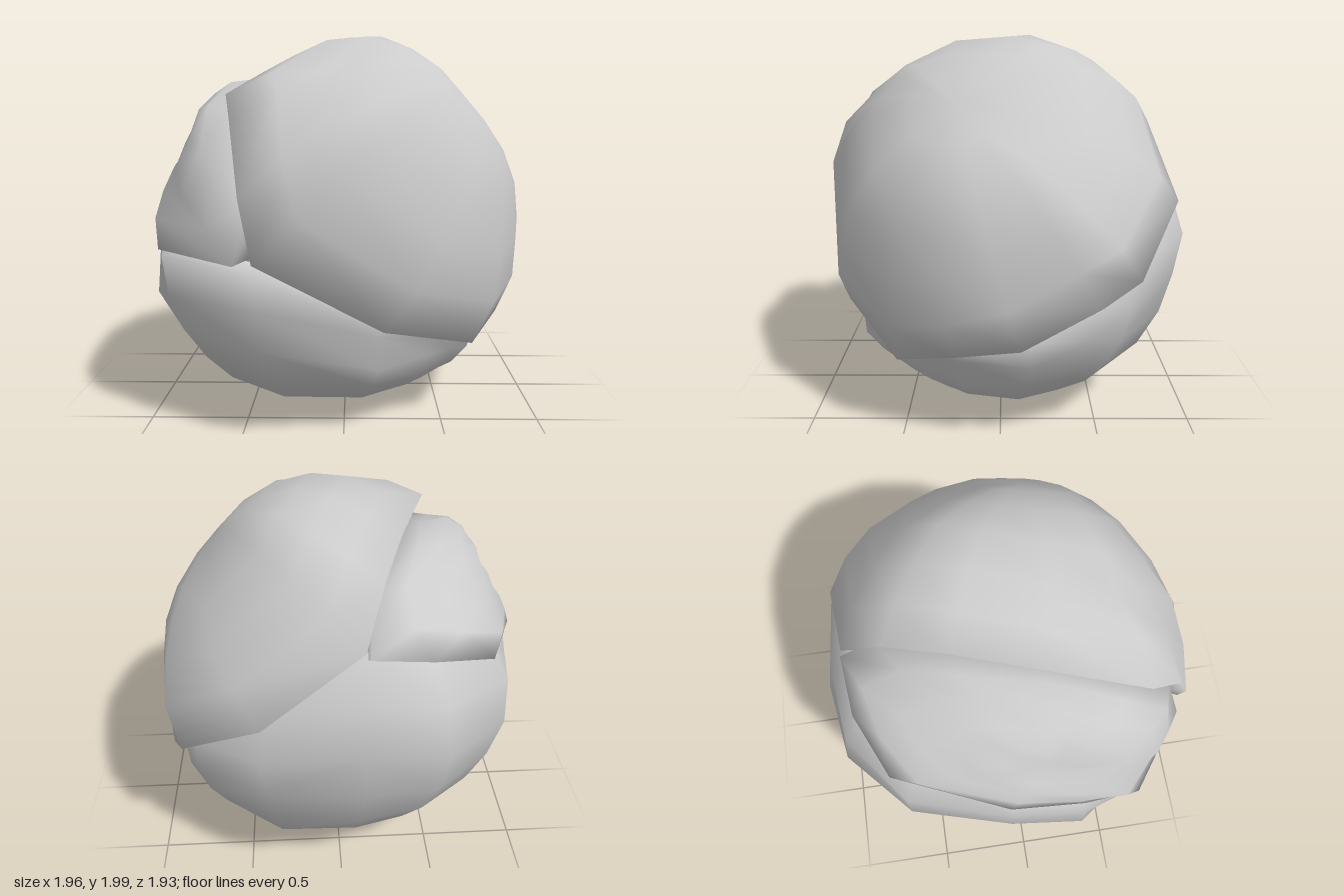
import * as THREE from 'three';

const CENTRE = new THREE.Vector3(0, 1, 0);
const material = new THREE.MeshStandardMaterial({ color: 0xcccccc, side: THREE.DoubleSide });
const fromCentre = ([x, y, z]) => new THREE.Vector3(x, y, z).sub(CENTRE);

// Radius in a direction, blended from the nearest known surface points
function radiusAt(dir, points) {
  let sum = 0, weight = 0;
  for (const p of points) {
    const w = 1 / (Math.pow(dir.angleTo(p), 4) + 2e-4);
    sum += w * p.length();
    weight += w;
  }
  return sum / weight;
}

// A leaf: rings spread over the ball from its middle to its edge, then a lip turned inward
function leaf(name, middle, edge, bulges, rings = 5) {
  const rim = edge.map(fromCentre);
  const known = [...rim, ...bulges.map(fromCentre)];
  const pole = fromCentre(middle).normalize();
  const n = rim.length;
  const positions = [], index = [];
  const put = (v) => positions.push(v.x, v.y + CENTRE.y, v.z);

  put(pole.clone().multiplyScalar(radiusAt(pole, known)));
  for (let r = 1; r < rings; r++) {
    for (const p of rim) {
      const axis = new THREE.Vector3().crossVectors(pole, p).normalize();
      const v = pole.clone().applyAxisAngle(axis, pole.angleTo(p) * r / rings);
      put(v.multiplyScalar(radiusAt(v, known)));
    }
  }
  for (const p of rim) put(p);
  for (const p of rim) put(p.clone().multiplyScalar(0.86));

  for (let i = 0; i < n; i++) {
    const j = (i + 1) % n;
    index.push(0, 1 + i, 1 + j);
    for (let r = 0; r < rings; r++) {
      const a = 1 + r * n, b = a + n;
      index.push(a + i, b + i, b + j, a + i, b + j, a + j);
    }
  }
  const geometry = new THREE.BufferGeometry();
  geometry.setAttribute('position', new THREE.Float32BufferAttribute(positions, 3));
  geometry.setIndex(index);
  geometry.computeVertexNormals();
  const mesh = new THREE.Mesh(geometry, material);
  mesh.name = name;
  return mesh;
}

export function createModel() {
  const group = new THREE.Group();
  group.name = 'leafyHead';

  // Large leaf wrapping the top, front and left
  group.add(leaf('outerLeaf', [0.45, 1.5, 0.15], [
    [-0.1, 1.53, -0.82], [-0.2, 1.76, -0.6], [-0.31, 1.85, -0.3], [-0.44, 1.79, 0.15],
    [-0.56, 1.67, 0.63], [-0.52, 1.56, 0.8], [-0.47, 1.2, 0.92], [-0.41, 0.91, 0.95],
    [0.19, 0.57, 0.84], [0.65, 0.42, 0.52], [0.82, 0.51, 0.22], [0.93, 0.59, -0.1],
    [0.87, 0.78, -0.48], [0.8, 0.89, -0.67], [0.39, 1.18, -0.91],
  ], [
    [0.05, 2, -0.12], [0.28, 1.97, -0.2], [0.49, 1.86, -0.05], [0.55, 1.76, -0.05],
    [0.68, 1.62, 0], [0.86, 1.39, 0], [0.96, 1, 0.06], [0.96, 0.82, 0.08], [-0.34, 1.77, 0.62],
    [0.14, 1.92, 0.38], [-0.1, 1.8, 0.48], [-0.2, 1.5, 0.86], [0.2, 1.45, 0.83],
    [0.2, 1.1, 0.95], [-0.15, 1.1, 0.95], [0.71, 1.55, -0.22], [0.84, 1.24, -0.46],
    [0.84, 1.06, -0.63], [0.54, 1.51, -0.64], [0.15, 1.83, -0.54], [0.69, 0.95, 0.67],
    [0.83, 1, 0.4], [0.45, 1, 0.82], [0.9, 1.05, -0.3],
  ], 6));

  // Smaller leaf tucked in on the right
  group.add(leaf('sideLeaf', [-0.8, 1.5, 0.1], [
    [-0.12, 1.5, -0.83], [-0.42, 1.46, -0.8], [-0.73, 1.37, -0.66], [-0.95, 1.22, -0.09],
    [-0.95, 1.05, 0.3], [-0.91, 0.92, 0.62], [-0.5, 0.9, 0.93], [-0.42, 1.2, 0.84],
    [-0.48, 1.58, 0.58], [-0.38, 1.74, 0.15], [-0.26, 1.78, -0.32], [-0.14, 1.69, -0.64],
  ], [
    [-0.7, 1.69, 0.1], [-0.47, 1.77, -0.2], [-0.82, 1.43, 0.15], [-0.7, 1.64, 0.38],
    [-0.79, 1.45, 0.45], [-0.88, 1.14, 0.64], [-0.7, 1.2, 0.74], [-0.7, 1.6, -0.3],
  ]));

  // Cup-shaped leaf holding the others from below, its rim tucked under them
  group.add(leaf('baseLeaf', [0, 0, 0], [
    [-0.4, 1.46, -0.72], [-0.08, 1.5, -0.76], [0.36, 1.22, -0.85], [0.73, 0.9, -0.62],
    [0.82, 0.76, -0.45], [0.86, 0.6, -0.15], [0.76, 0.54, 0.22], [0.66, 0.54, 0.42],
    [0.5, 0.56, 0.6], [0.18, 0.65, 0.82], [-0.42, 0.86, 0.92], [-0.89, 0.89, 0.64],
    [-0.93, 1.07, 0.3], [-0.92, 1.23, -0.08], [-0.72, 1.42, -0.52],
  ], [
    [0.05, 0, 0], [-0.14, 0.03, 0], [0.25, 0.03, 0], [0.7, 0.24, 0], [0.85, 0.48, -0.2],
    [0.85, 0.6, -0.39], [0.7, 0.65, -0.67], [0.45, 0.34, -0.66], [0.14, 0.15, -0.54],
    [-0.22, 0.07, -0.32], [-0.64, 0.15, 0], [-0.81, 0.33, 0.2], [-0.94, 0.6, 0],
    [-0.95, 0.64, 0.47], [-0.74, 0.63, 0.74], [-0.5, 0.29, 0.7], [-0.96, 1, -0.08],
    [0.04, 0.09, 0.44], [0.35, 0.1, 0.22], [0, 0.3, 0.75], [0, 0.32, -0.72], [0, 0.8, -0.96],
    [-0.42, 1.12, -0.96], [0.38, 1.1, -0.95], [-0.8, 1.15, -0.66], [0, 1.2, -0.95],
  ], 8));

  // Tight heart closing the gaps between the leaves
  const heart = new THREE.Mesh(new THREE.SphereGeometry(0.82, 14, 10), material);
  heart.name = 'heart';
  heart.position.copy(CENTRE);
  group.add(heart);

  return group;
}
